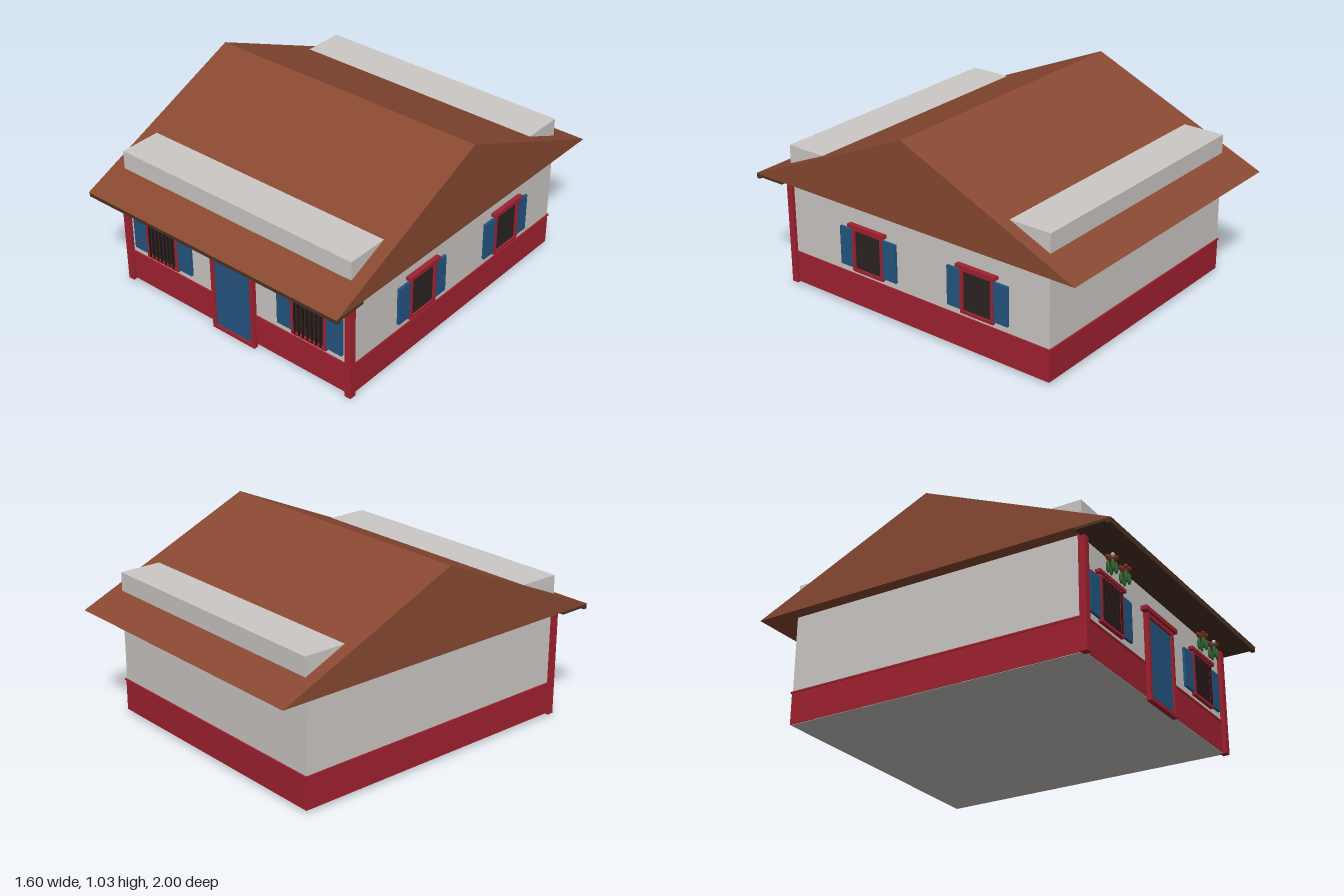
import * as THREE from 'three';

const mat = (name, color) => {
  const m = new THREE.MeshStandardMaterial({ color });
  m.name = name;
  return m;
};

export function createModel() {
  const house = new THREE.Group();
  house.name = 'house';
  const plaster = mat('plaster', 0xcdc9c5);
  const tile = mat('roofTile', 0x8a4932);
  const red = mat('redPaint', 0xa22231);
  const blue = mat('bluePaint', 0x245682);
  const dark = mat('darkGlass', 0x2c2523);
  const iron = mat('iron', 0x241416);
  const timber = mat('darkTimber', 0x4d3423);
  const leaf = mat('leafGreen', 0x2f6b35);
  const clay = mat('clay', 0x7a3f2a);

  const add = (parent, name, geo, m, x = 0, y = 0, z = 0) => {
    const mesh = new THREE.Mesh(geo, m);
    mesh.name = name;
    mesh.position.set(x, y, z);
    parent.add(mesh);
    return mesh;
  };
  // Box given by its limits on each axis
  const box = (parent, name, m, x0, x1, y0, y1, z0, z1) =>
    add(parent, name, new THREE.BoxGeometry(x1 - x0, y1 - y0, z1 - z0), m,
      (x0 + x1) / 2, (y0 + y1) / 2, (z0 + z1) / 2);
  // Rectangular frame with a hole, standing on z = 0
  const frame = (parent, name, halfW, y0, y1, t, depth) => {
    const s = new THREE.Shape();
    s.moveTo(-halfW, y0).lineTo(halfW, y0).lineTo(halfW, y1).lineTo(-halfW, y1).closePath();
    const h = new THREE.Path();
    h.moveTo(-halfW + t, y0 + t).lineTo(-halfW + t, y1 - t)
      .lineTo(halfW - t, y1 - t).lineTo(halfW - t, y0 + t).closePath();
    s.holes.push(h);
    return add(parent, name, new THREE.ExtrudeGeometry(s, { depth, bevelEnabled: false }), red);
  };

  // Walls, painted plinth and its narrow cap
  box(house, 'walls', plaster, -0.73, 0.73, 0.018, 0.78, -0.815, 0.815);
  box(house, 'plinth', red, -0.733, 0.733, 0.02, 0.185, -0.818, 0.818);
  box(house, 'plinthCap', red, -0.737, 0.737, 0.185, 0.194, -0.823, 0.823);
  for (const s of [-1, 1]) {
    const x = s * 0.728;
    box(house, 'cornerPost', red, x - 0.018, x + 0.018, 0.015, 0.6, 0.802, 0.838);
  }

  // Gabled roof with a flat underside
  const gable = new THREE.Shape();
  gable.moveTo(-1, 0.6).lineTo(1, 0.6).lineTo(0, 1.034).closePath();
  const roofGeo = new THREE.ExtrudeGeometry(gable, { depth: 1.6, bevelEnabled: false });
  roofGeo.translate(0, 0, -0.8).rotateY(Math.PI / 2);
  add(house, 'roof', roofGeo, tile);
  box(house, 'eaveBoard', timber, -0.8, 0.8, 0.586, 0.6, 0.815, 0.985);
  box(house, 'eaveFascia', timber, -0.8, 0.8, 0.575, 0.602, 0.975, 0.995);

  // Door
  const door = new THREE.Group();
  door.name = 'door';
  door.position.z = 0.815;
  house.add(door);
  frame(door, 'doorFrame', 0.139, 0, 0.453, 0.02, 0.025);
  box(door, 'doorPanel', blue, -0.12, 0.12, 0.018, 0.436, 0, 0.014);
  box(door, 'doorLintel', red, -0.165, 0.165, 0.457, 0.48, 0, 0.034);

  // Window with shutters and optional iron bars
  const addWindow = (name, x, z, turn, half, outer, bars) => {
    const w = new THREE.Group();
    w.name = name;
    w.position.set(x, 0, z);
    w.rotation.y = turn;
    house.add(w);
    frame(w, 'windowFrame', half, 0.216, 0.457, 0.016, 0.018);
    box(w, 'windowGlass', dark, 0.016 - half, half - 0.016, 0.232, 0.441, 0, 0.008);
    box(w, 'windowLintel', red, -half - 0.02, half + 0.02, 0.457, 0.474, 0, 0.026);
    for (const s of [-1, 1]) {
      const c = s * (half + outer) / 2, h = (outer - half) / 2;
      box(w, 'shutter', blue, c - h, c + h, 0.232, 0.44, 0, 0.014);
    }
    for (let i = 0; i < bars; i++) {
      const bx = (i - (bars - 1) / 2) * 0.027;
      add(w, 'windowBar', new THREE.CylinderGeometry(0.005, 0.005, 0.212, 6), iron, bx, 0.336, 0.022);
    }
  };
  for (const s of [-1, 1]) addWindow('frontWindow', s * 0.484, 0.815, 0, 0.108, 0.2, 7);
  for (const z of [0.293, -0.4]) addWindow('sideWindow', 0.73, z, Math.PI / 2, 0.1, 0.183, 0);

  // Hanging flower pots below the front eave
  const potProfile = [[0, 0], [0.014, 0], [0.022, 0.03], [0.026, 0.03], [0.026, 0.039], [0, 0.039]]
    .map(([r, y]) => new THREE.Vector2(r, y));
  const potGeo = new THREE.LatheGeometry(potProfile, 10);
  const ballGeo = new THREE.SphereGeometry(1, 8, 6);
  const addPot = (x, mixed) => {
    const p = new THREE.Group();
    p.name = 'hangingPot';
    p.position.set(x, 0, 0.868);
    house.add(p);
    add(p, 'pot', potGeo, clay, 0, 0.512, 0);
    add(p, 'potHook', new THREE.CylinderGeometry(0.003, 0.003, 0.05, 6), iron, 0, 0.568, 0);
    for (let i = 0; i < 4; i++) {
      const a = Math.PI / 4 + i * Math.PI / 2, c = Math.cos(a), s = Math.sin(a);
      add(p, 'trailingLeaf', ballGeo, leaf, c * 0.022, 0.499, s * 0.018).scale.set(0.012, 0.032, 0.01);
      add(p, 'blossom', ballGeo, mixed && i % 2 ? plaster : red, c * 0.025, 0.552, s * 0.02)
        .scale.setScalar(0.011);
    }
  };
  for (const s of [-1, 1]) {
    addPot(s * 0.42, false);
    addPot(s * 0.547, true);
  }
  return house;
}
